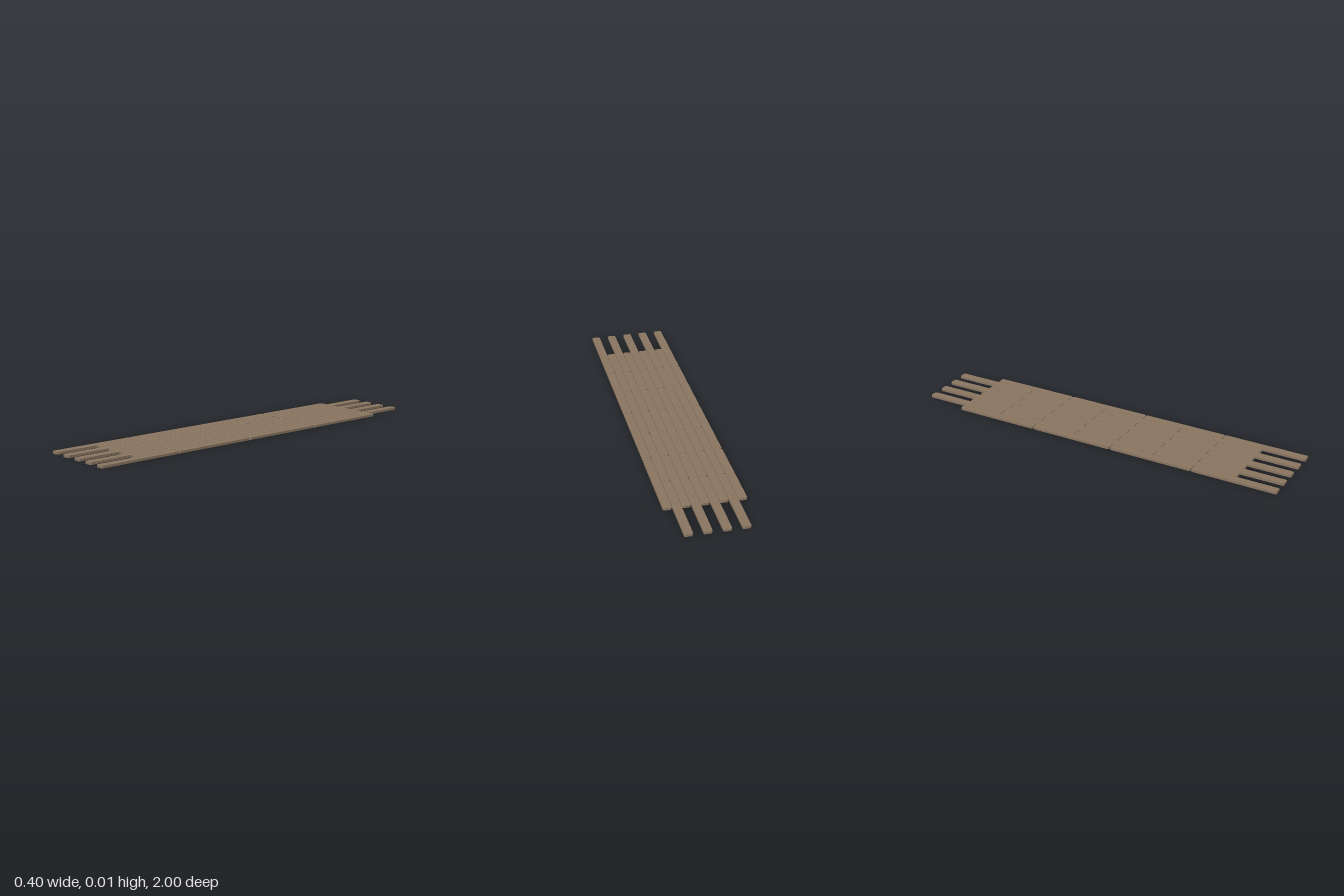
import * as THREE from 'three';

const COLUMNS = 9, ROWS = 4;
const WIDTH = 0.0424, LENGTH = 0.4425, HEIGHT = 0.012, RADIUS = 0.009;
const PITCH_X = (0.4 - WIDTH) / (COLUMNS - 1);
const PITCH_Z = (2 - LENGTH) / (ROWS - 0.5); // half a pitch of stagger between columns

// Flat plank with its four plan corners rounded, lying on y = 0
function plankGeometry() {
  const w = WIDTH / 2, l = LENGTH / 2, r = RADIUS;
  const shape = new THREE.Shape();
  shape.absarc(w - r, l - r, r, 0, Math.PI / 2);
  shape.absarc(-w + r, l - r, r, Math.PI / 2, Math.PI);
  shape.absarc(-w + r, -l + r, r, Math.PI, Math.PI * 1.5);
  shape.absarc(w - r, -l + r, r, Math.PI * 1.5, Math.PI * 2);
  const geometry = new THREE.ExtrudeGeometry(shape, {
    depth: HEIGHT, bevelEnabled: false, curveSegments: 4,
  });
  return geometry.rotateX(-Math.PI / 2);
}

export function createModel() {
  const model = new THREE.Group();
  model.name = 'plankFloor';
  const geometry = plankGeometry();
  const material = new THREE.MeshStandardMaterial({ color: 0x8b7762, flatShading: true });

  // Columns of planks; alternate columns are shifted by half a plank
  for (let c = 0; c < COLUMNS; c++) {
    const column = new THREE.Group();
    column.name = `plankColumn${c + 1}`;
    column.position.x = (c - (COLUMNS - 1) / 2) * PITCH_X;
    const start = -1 + LENGTH / 2 + (c % 2 === 0 ? PITCH_Z / 2 : 0);
    for (let i = 0; i < ROWS; i++) {
      const plank = new THREE.Mesh(geometry, material);
      plank.name = `plank${i + 1}`;
      plank.position.z = start + i * PITCH_Z;
      column.add(plank);
    }
    model.add(column);
  }
  return model;
}
